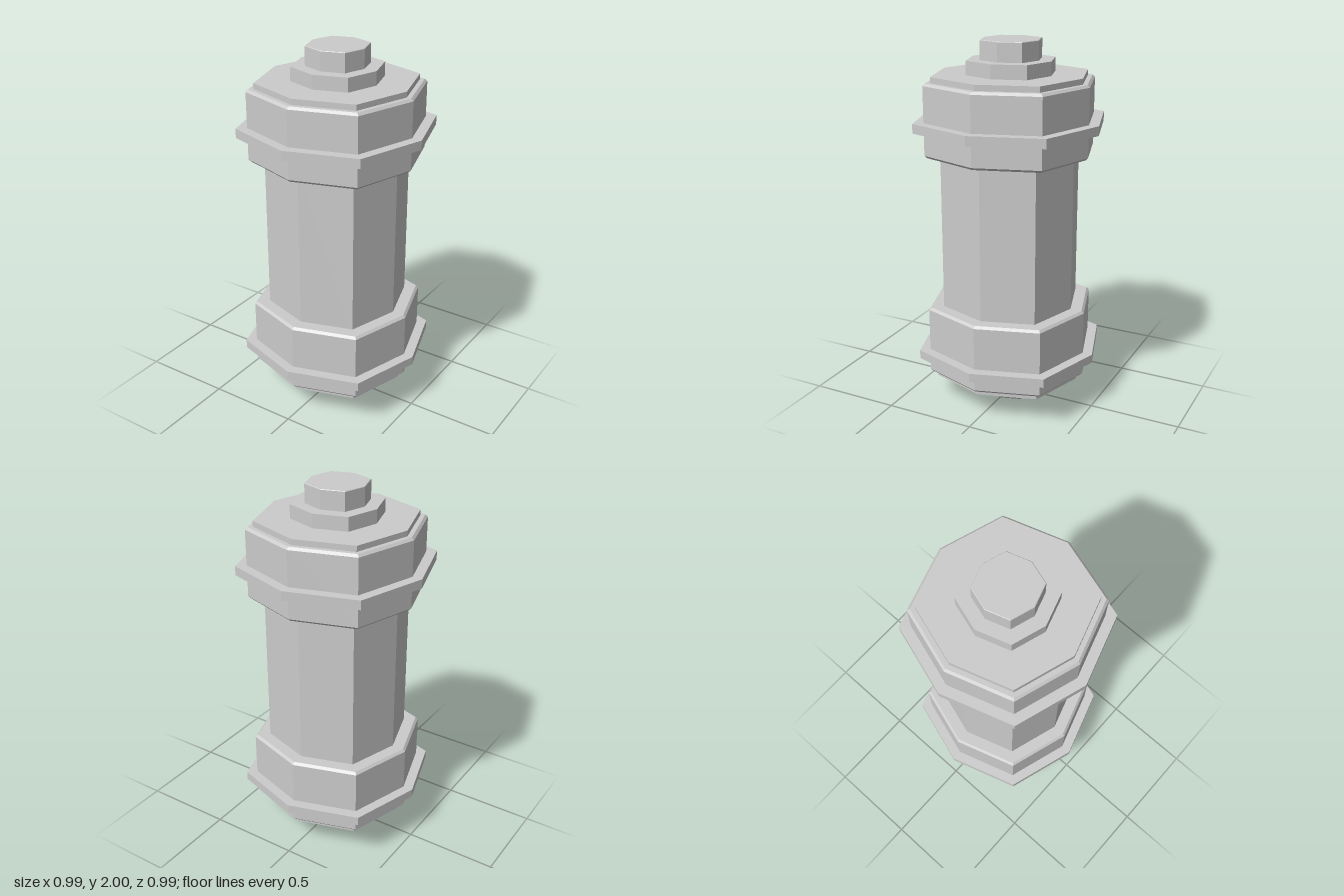
import * as THREE from 'three';

const material = new THREE.MeshStandardMaterial({ color: 0xcccccc, flatShading: true });

// Closed eight-sided solid from [radius, y] rings (bottom to top); diagonal corners pushed out slightly
function octagon(name, rings) {
  const profile = [[0, rings[0][1]], ...rings, [0, rings[rings.length - 1][1]]];
  const geometry = new THREE.LatheGeometry(profile.map(([r, y]) => new THREE.Vector2(r, y)), 8);
  const p = geometry.attributes.position;
  for (let i = 0; i < p.count; i++) {
    const x = p.getX(i), z = p.getZ(i);
    if (Math.min(Math.abs(x), Math.abs(z)) > 0.001) {
      p.setX(i, x * 1.075);
      p.setZ(i, z * 1.075);
    }
  }
  const flat = geometry.toNonIndexed();
  flat.computeVertexNormals();
  const mesh = new THREE.Mesh(flat, material);
  mesh.name = name;
  return mesh;
}

const prism = (name, r, y0, y1) => octagon(name, [[r, y0], [r, y1]]);

// Prism with chamfered rims
const chamfered = (name, r, y0, y1, c) =>
  octagon(name, [[r - c, y0], [r, y0 + c], [r, y1 - c], [r - c, y1]]);

export function createModel() {
  const model = new THREE.Group();

  // Main tube
  model.add(prism('body', 0.362, 0.5, 1.48));

  // Upper end
  const top = new THREE.Group();
  top.name = 'topEnd';
  top.add(
    chamfered('topCap', 0.44, 1.405, 1.793, 0.013),
    prism('topFlange', 0.495, 1.54, 1.59),
    prism('topPlate', 0.402, 1.78, 1.823),
    prism('topCollar', 0.228, 1.81, 1.897),
    octagon('topStud', [[0.158, 1.88], [0.158, 1.997], [0.155, 2]])
  );
  model.add(top);

  // Lower end
  const bottom = new THREE.Group();
  bottom.name = 'bottomEnd';
  bottom.add(
    chamfered('bottomCap', 0.44, 0.177, 0.563, 0.013),
    prism('bottomFlange', 0.495, 0.267, 0.315),
    prism('bottomPlate', 0.402, 0.146, 0.19),
    prism('bottomCollar', 0.228, 0.05, 0.16),
    octagon('bottomStud', [[0.147, 0], [0.158, 0.013], [0.158, 0.07]])
  );
  model.add(bottom);

  return model;
}
